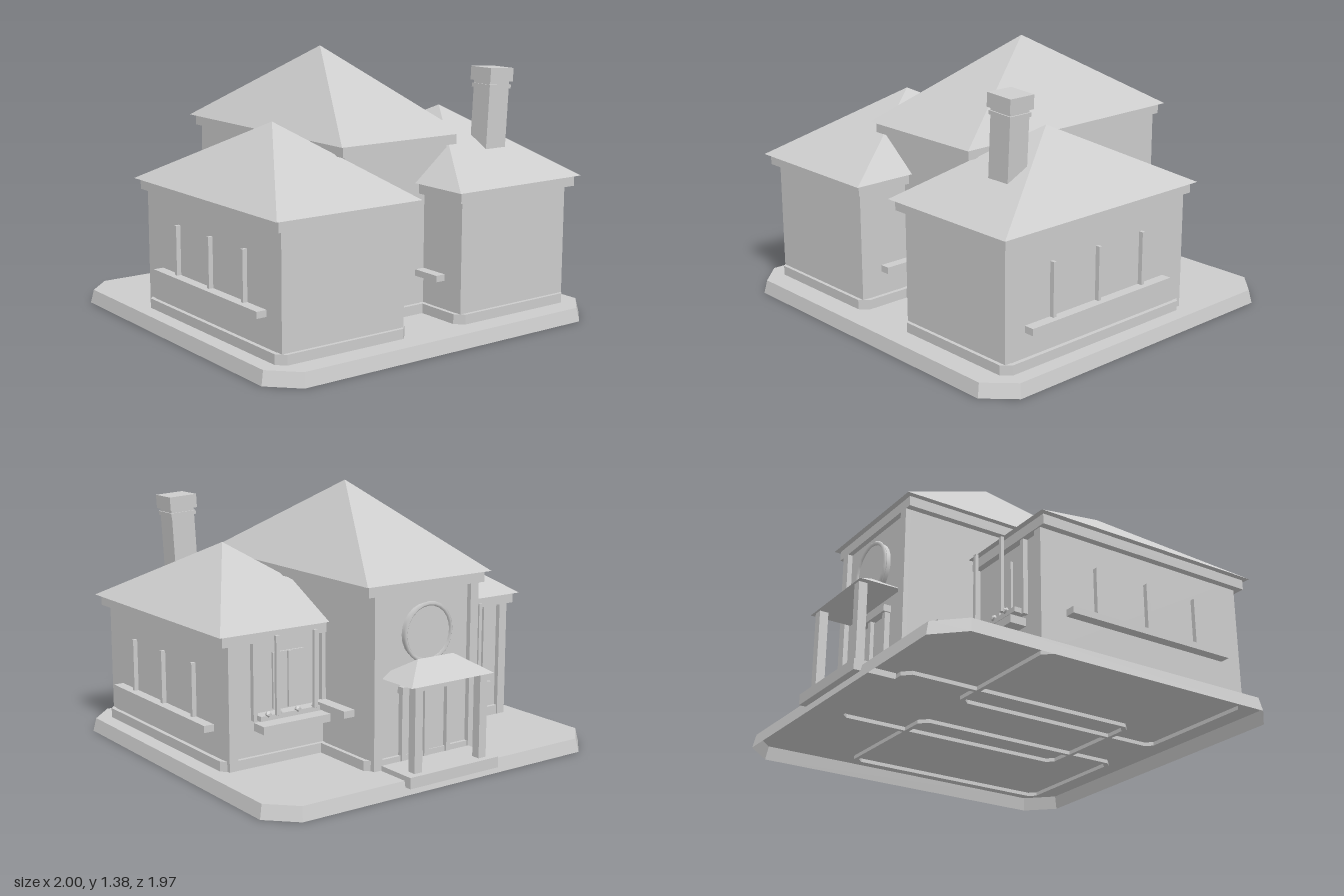
import * as THREE from 'three';

const stone = new THREE.MeshStandardMaterial({ color: 0xcccccc, side: THREE.DoubleSide });
stone.name = 'pale grey';

function mesh(parent, name, geometry) {
  const m = new THREE.Mesh(geometry, stone);
  m.name = name;
  parent.add(m);
  return m;
}

// Box given by its limits on each axis
function box(parent, name, x0, x1, y0, y1, z0, z1) {
  const m = mesh(parent, name, new THREE.BoxGeometry(x1 - x0, y1 - y0, z1 - z0));
  m.position.set((x0 + x1) / 2, (y0 + y1) / 2, (z0 + z1) / 2);
  return m;
}

const rect = (x0, x1, z0, z1) => [[x0, z0], [x1, z0], [x1, z1], [x0, z1]];

// Rectangle with cut corners
const octagon = (x0, x1, z0, z1, c) => [
  [x0 + c, z0], [x1 - c, z0], [x1, z0 + c], [x1, z1 - c],
  [x1 - c, z1], [x0 + c, z1], [x0, z1 - c], [x0, z0 + c],
];

// Flat-faced solid between two outlines with equal corner counts
function loft(parent, name, low, y0, high, y1, capLow = true, capHigh = true) {
  const v = [];
  const L = (i) => [low[i][0], y0, low[i][1]];
  const H = (i) => [high[i][0], y1, high[i][1]];
  const n = low.length;
  for (let i = 0; i < n; i++) {
    const j = (i + 1) % n;
    v.push(...L(i), ...H(i), ...H(j), ...L(i), ...H(j), ...L(j));
  }
  for (let i = 1; i < n - 1; i++) {
    if (capLow) v.push(...L(0), ...L(i), ...L(i + 1));
    if (capHigh) v.push(...H(0), ...H(i + 1), ...H(i));
  }
  const g = new THREE.BufferGeometry();
  g.setAttribute('position', new THREE.Float32BufferAttribute(v, 3));
  g.computeVertexNormals();
  return mesh(parent, name, g);
}

// Skirting ring with cut corners, sunk slightly into the plinth
function skirting(parent, x0, x1, z0, z1) {
  const toVec = ([x, z]) => new THREE.Vector2(x, -z);
  const t = 0.022;
  const shape = new THREE.Shape(octagon(x0, x1, z0, z1, 0.042).map(toVec));
  shape.holes.push(new THREE.Path(octagon(x0 + t, x1 - t, z0 + t, z1 - t, 0.033).map(toVec)));
  const g = new THREE.ExtrudeGeometry(shape, { depth: 0.07, bevelEnabled: false });
  g.rotateX(-Math.PI / 2);
  mesh(parent, 'skirting', g).position.y = 0.05;
}

// Pyramid roof with a fascia band below the eaves
function hipRoof(parent, x0, x1, z0, z1, eave, apex, apexZ) {
  const cx = (x0 + x1) / 2;
  loft(parent, 'roof', rect(x0, x1, z0, z1), eave, rect(cx, cx, apexZ, apexZ), apex, true, false);
  const o = 0.024;
  box(parent, 'fascia', x0 + o, x1 - o, eave - 0.055, eave - 0.004, z0 + o, z1 - o);
}

// Side wing, built around its own centre line
function wing(parent, centreX, out) {
  const g = new THREE.Group();
  g.name = 'wing';
  g.position.x = centreX;
  parent.add(g);
  box(g, 'wingWalls', -0.35, 0.35, 0.072, 0.735, -0.345, 0.834);
  skirting(g, -0.375, 0.375, -0.365, 0.853);
  hipRoof(g, -0.41, 0.41, -0.402, 0.89, 0.74, 1.07, 0.245);

  // Rear corner posts
  for (const x of [-0.325, 0.325]) box(g, 'cornerPost', x - 0.025, x + 0.025, 0.072, 0.7, -0.371, -0.33);

  // Long sills on both sides, set at different heights
  box(g, 'sideSill', 0.34, 0.404, 0.243, 0.278, -0.23, 0.713);
  box(g, 'sideSill', -0.404, -0.34, 0.265, 0.298, -0.23, 0.713);
  // Upright window bars on the outer wall
  for (const z of [-0.058, 0.245, 0.545]) {
    const x = out * 0.362;
    box(g, 'windowBar', x - 0.012, x + 0.012, out > 0 ? 0.278 : 0.298, 0.55, z - 0.009, z + 0.009);
  }

  // Rear window with frame posts, sill and planter
  box(g, 'rearWindow', -0.09, 0.09, 0.34, 0.62, -0.357, -0.34);
  for (const x of [-0.2, 0.2]) box(g, 'windowSurround', x - 0.012, x + 0.012, 0.3, 0.69, -0.371, -0.34);
  for (const x of [-0.11, 0.11]) box(g, 'framePost', x - 0.01, x + 0.01, 0.33, 0.72, -0.432, -0.415);
  box(g, 'windowMullion', -0.008, 0.008, 0.34, 0.62, -0.368, -0.34);
  box(g, 'rearSill', -0.195, 0.195, 0.305, 0.33, -0.41, -0.34);
  box(g, 'planter', -0.195, 0.195, 0.245, 0.285, -0.432, -0.34);
  for (const x of [-0.12, -0.02, 0.09, 0.15]) {
    const p = mesh(g, 'plant', new THREE.IcosahedronGeometry(0.018, 0));
    p.position.set(x, 0.335, -0.405);
  }
}

function mainHall(parent) {
  const g = new THREE.Group();
  g.name = 'mainHall';
  parent.add(g);
  box(g, 'hallWalls', -0.32, 0.32, 0.072, 0.965, -0.74, 0.55);
  skirting(g, -0.345, 0.345, -0.757, 0.575);
  hipRoof(g, -0.38, 0.38, -0.79, 0.61, 0.975, 1.385, -0.092);
  for (const s of [-1, 1]) {
    box(g, 'cornerPost', s * 0.295 - 0.025, s * 0.295 + 0.025, 0.072, 0.93, -0.766, -0.73);
    box(g, 'sideShelf', s * 0.347 - 0.035, s * 0.347 + 0.035, 0.31, 0.345, -0.61, -0.36);
  }

  // Round rear window
  const disc = mesh(g, 'roundWindow', new THREE.CylinderGeometry(0.14, 0.14, 0.035, 24));
  disc.rotation.x = Math.PI / 2;
  disc.position.set(0, 0.715, -0.753);
  const rim = mesh(g, 'roundWindowRim', new THREE.TorusGeometry(0.14, 0.011, 4, 24));
  rim.position.set(0, 0.715, -0.771);

  // Double door
  box(g, 'doorLintel', -0.16, 0.16, 0.43, 0.465, -0.78, -0.73);
  for (const x of [-0.14, 0, 0.14]) box(g, 'doorFrame', x - 0.013, x + 0.013, 0.09, 0.44, -0.768, -0.73);
  for (const x of [-0.07, 0.07]) box(g, 'doorLeaf', x - 0.05, x + 0.05, 0.1, 0.42, -0.752, -0.73);
}

function porch(parent) {
  const g = new THREE.Group();
  g.name = 'porch';
  parent.add(g);
  box(g, 'porchStep', -0.275, 0.275, 0.04, 0.095, -0.985, -0.765);
  loft(g, 'porchRoof', rect(-0.255, 0.255, -0.963, -0.69), 0.515,
    rect(-0.11, 0.11, -0.827, -0.827), 0.608, true, false);
  for (const x of [-0.2, 0.2]) box(g, 'porchPost', x - 0.023, x + 0.023, 0.095, 0.52, -0.951, -0.905);
}

// Leaning chimney on one wing
function chimney(parent) {
  const g = new THREE.Group();
  g.name = 'chimney';
  g.position.set(0.594, 0.86, 0.557);
  g.rotation.z = -0.055;
  parent.add(g);
  box(g, 'chimneyShaft', -0.066, 0.066, -0.12, 0.36, -0.06, 0.06);
  box(g, 'chimneyCollar', -0.073, 0.073, 0.325, 0.345, -0.067, 0.067);
  box(g, 'chimneyCap', -0.078, 0.078, 0.36, 0.43, -0.074, 0.074);
}

export function createModel() {
  const model = new THREE.Group();
  model.name = 'house';
  // Hollow plinth, open underneath
  loft(model, 'plinth', octagon(-1, 1, -0.957, 0.985, 0.137), 0,
    octagon(-0.985, 0.985, -0.942, 0.97, 0.131), 0.07, false, true);
  wing(model, -0.53, -1);
  wing(model, 0.53, 1);
  mainHall(model);
  porch(model);
  chimney(model);
  return model;
}
